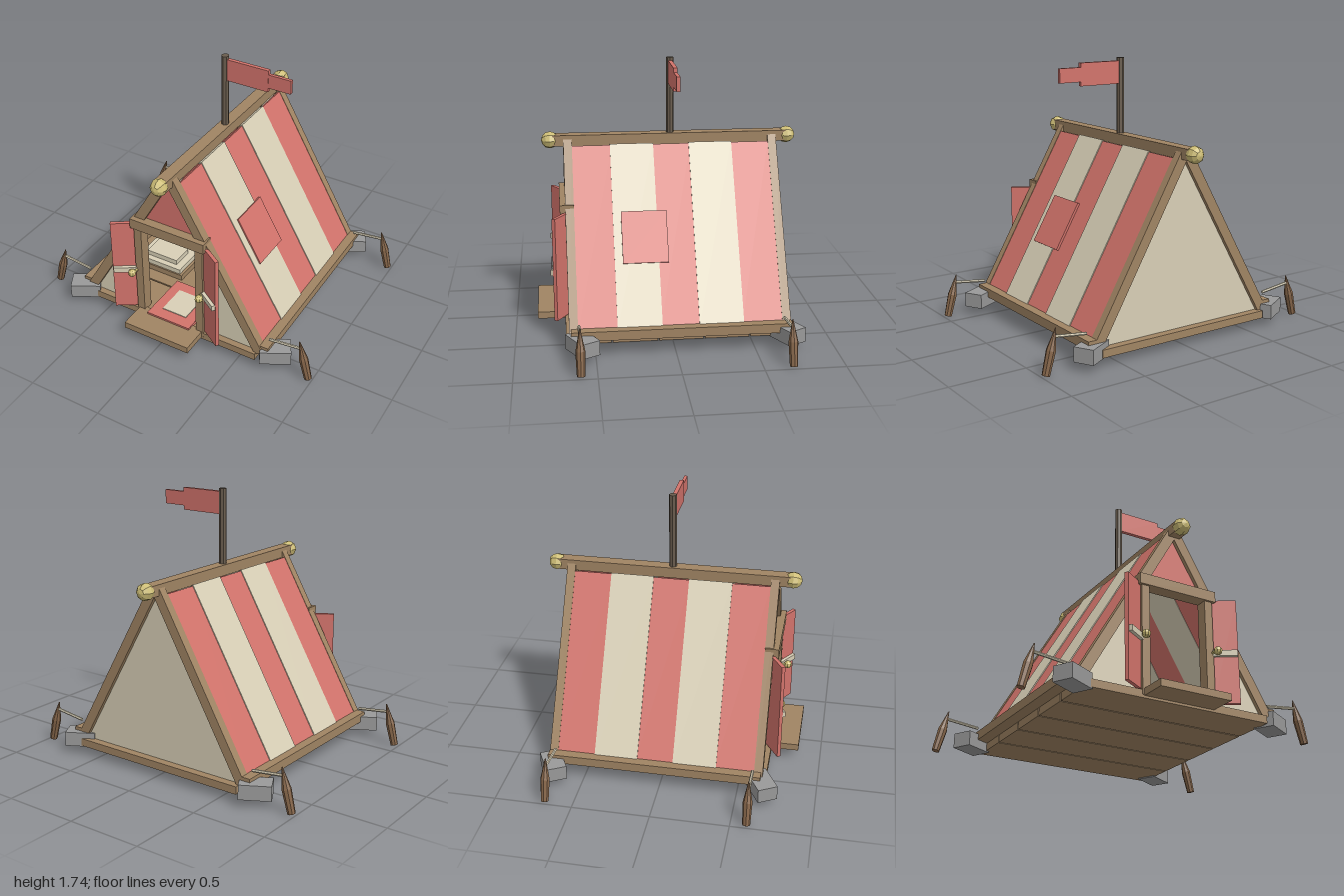
import * as THREE from 'three';

const material = (name, color) => {
  const m = new THREE.MeshStandardMaterial({ color });
  m.name = name;
  m.flatShading = true;
  return m;
};

export function createModel() {
  const root = new THREE.Group();
  root.name = 'tent';
  const red = material('red canvas', 0xd2736b);
  const cream = material('cream canvas', 0xd8cfb6);
  const wood = material('wood', 0xa08463);
  const darkWood = material('dark wood', 0x86664a);
  const poleMat = material('pole brown', 0x6a5d4e);
  const stone = material('stone grey', 0x999999);
  const gold = material('gold', 0xcdbd76);

  const add = (name, geo, mat, x = 0, y = 0, z = 0, parent = root) => {
    const m = new THREE.Mesh(geo, mat);
    m.name = name;
    m.position.set(x, y, z);
    parent.add(m);
    return m;
  };
  // Box given by its lower and upper limits
  const box = (name, mat, x0, x1, y0, y1, z0, z1, parent) =>
    add(name, new THREE.BoxGeometry(x1 - x0, y1 - y0, z1 - z0), mat,
      (x0 + x1) / 2, (y0 + y1) / 2, (z0 + z1) / 2, parent);

  // Slab lying along the roof slope on side s, off = distance outward from the rafter centre line
  const K = 0.58, A = Math.atan(K);
  const slab = (name, mat, s, y0, y1, off, thick, z0, z1) => {
    const y = (y0 + y1) / 2;
    const x = 0.22 + (0.85 - y) * K + off * Math.cos(A);
    const m = add(name, new THREE.BoxGeometry(thick, (y1 - y0) / Math.cos(A), z1 - z0), mat,
      s * x, y + off * Math.sin(A), (z0 + z1) / 2);
    m.rotation.z = s * A;
  };
  // Thin upright wall from a list of x, y points
  const wall = (name, mat, pts, z) => {
    const shape = new THREE.Shape(pts.map(([x, y]) => new THREE.Vector2(x, y)));
    add(name, new THREE.ExtrudeGeometry(shape, { depth: 0.015, bevelEnabled: false }), mat, 0, 0, z);
  };

  // Floor planks and entrance step
  for (let i = 0; i < 5; i++) {
    const z = -0.04 + (i - 2) * 0.289;
    box('floorPlank', wood, -0.63, 0.63, 0.06, 0.11, z - 0.14, z + 0.14);
  }
  box('step', wood, -0.24, 0.24, 0.075, 0.12, 0.655, 0.855);

  // Ridge beam with round finials
  box('ridgeBeam', wood, -0.04, 0.04, 1.18, 1.25, -0.8, 0.73);
  for (const z of [-0.808, 0.745]) {
    const ball = add('finial', new THREE.SphereGeometry(0.056, 8, 6), gold, 0, 1.215, z);
    ball.rotation.x = Math.PI / 2;
  }

  // Striped roof, rafters and sill beams on both sides
  for (const s of [-1, 1]) {
    for (let i = 0; i < 5; i++) {
      const z = -0.035 + (i - 2) * 0.256;
      if (i % 2) slab('creamStripe', cream, s, 0.14, 1.175, 0.022, 0.028, z - 0.14, z + 0.14);
      else slab('redStripe', red, s, 0.14, 1.17, 0.02, 0.02, z - 0.128, z + 0.128);
    }
    slab('rafter', wood, s, 0.11, 1.21, 0, 0.065, 0.605, 0.66);
    slab('rafter', wood, s, 0.11, 1.21, 0, 0.065, -0.73, -0.675);
    box('sillBeam', wood, Math.min(s * 0.61, s * 0.71), Math.max(s * 0.61, s * 0.71),
      0.11, 0.17, -0.73, 0.65);
  }
  slab('roofPatch', red, 1, 0.495, 0.785, 0.036, 0.02, 0.02, 0.31);

  // Gable walls
  wall('backWall', cream, [[-0.63, 0.11], [0.63, 0.11], [0, 1.19]], -0.705);
  wall('gableTop', red, [[-0.2, 0.83], [0.2, 0.83], [0, 1.18]], 0.62);
  wall('frontWallLeft', cream, [[0.22, 0.11], [0.64, 0.11], [0.22, 0.84]], 0.62);
  wall('frontWallRight', cream, [[-0.22, 0.11], [-0.22, 0.84], [-0.64, 0.11]], 0.62);

  // Door frame
  box('lintel', wood, -0.27, 0.27, 0.78, 0.85, 0.605, 0.695);
  for (const s of [-1, 1]) {
    box('doorPost', wood, s * 0.225 - 0.027, s * 0.225 + 0.027, 0.08, 0.78, 0.605, 0.68);

    // Open door flaps with tie bands and knobs
    const flap = new THREE.Group();
    flap.name = 'doorFlap';
    flap.position.set(s * 0.325, 0, 0.695);
    flap.rotation.y = -s * 0.57;
    root.add(flap);
    box('flapCloth', red, -0.08, 0.08, 0.12, 0.8, -0.012, 0.012, flap);
    box('tieBand', cream, -0.075, 0.075, 0.42, 0.458, 0.012, 0.034, flap);
    add('knob', new THREE.SphereGeometry(0.027, 8, 6), gold, s * 0.252, 0.44, 0.725);
    const stem = add('knobStem', new THREE.CylinderGeometry(0.01, 0.01, 0.06, 6), gold,
      s * 0.245, 0.44, 0.69);
    stem.rotation.x = Math.PI / 2;
  }

  // Flag pole and flag
  add('flagPole', new THREE.CylinderGeometry(0.025, 0.025, 0.54, 8), poleMat, 0, 1.47, -0.035);
  box('flag', red, 0.015, 0.31, 1.573, 1.72, -0.048, -0.022);
  box('flagTail', red, 0.31, 0.465, 1.6, 1.692, -0.046, -0.024);

  // Corner stones
  for (const [x, z] of [[-0.69, 0.66], [0.727, 0.582], [0.672, -0.703], [-0.727, -0.69]]) {
    add('cornerStone', new THREE.BoxGeometry(0.2, 0.095, 0.13), stone, x, 0.1, z).rotation.y = 0.5;
  }

  // Pegs and guy ropes
  for (const s of [-1, 1]) for (const z of [-0.68, 0.6]) {
    const peg = new THREE.Group();
    peg.name = 'peg';
    peg.position.set(s * 0.973, 0.007, z);
    peg.rotation.z = s * 0.25;
    root.add(peg);
    add('pegBody', new THREE.CylinderGeometry(0.03, 0.025, 0.15, 8), darkWood, 0, 0.075, 0, peg);
    add('pegPoint', new THREE.CylinderGeometry(0.003, 0.03, 0.135, 8), darkWood, 0, 0.2175, 0, peg);
    const rope = add('guyRope', new THREE.CylinderGeometry(0.01, 0.01, 0.215, 6), cream,
      s * 0.8, 0.218, z);
    rope.rotation.z = Math.PI / 2 + s * 0.12;
  }

  // Rug
  box('rug', red, -0.16, 0.16, 0.11, 0.133, 0.34, 0.71);
  box('rugCentre', cream, -0.09, 0.09, 0.133, 0.138, 0.42, 0.63);

  // Bed
  box('bedBase', wood, -0.52, -0.15, 0.11, 0.15, -0.55, 0.3);
  box('mattress', cream, -0.51, -0.17, 0.15, 0.185, -0.54, 0.29);
  box('blanket', red, -0.5, -0.165, 0.175, 0.197, -0.54, 0.05);
  box('pillow', cream, -0.46, -0.22, 0.185, 0.22, 0.1, 0.25);

  // Chest with a metal band
  box('chestBody', wood, 0.17, 0.39, 0.11, 0.32, -0.3, 0);
  box('chestLid', wood, 0.15, 0.4, 0.32, 0.355, -0.32, 0.02);
  box('chestBand', stone, 0.16, 0.4, 0.205, 0.245, -0.31, 0.01);

  return root;
}
